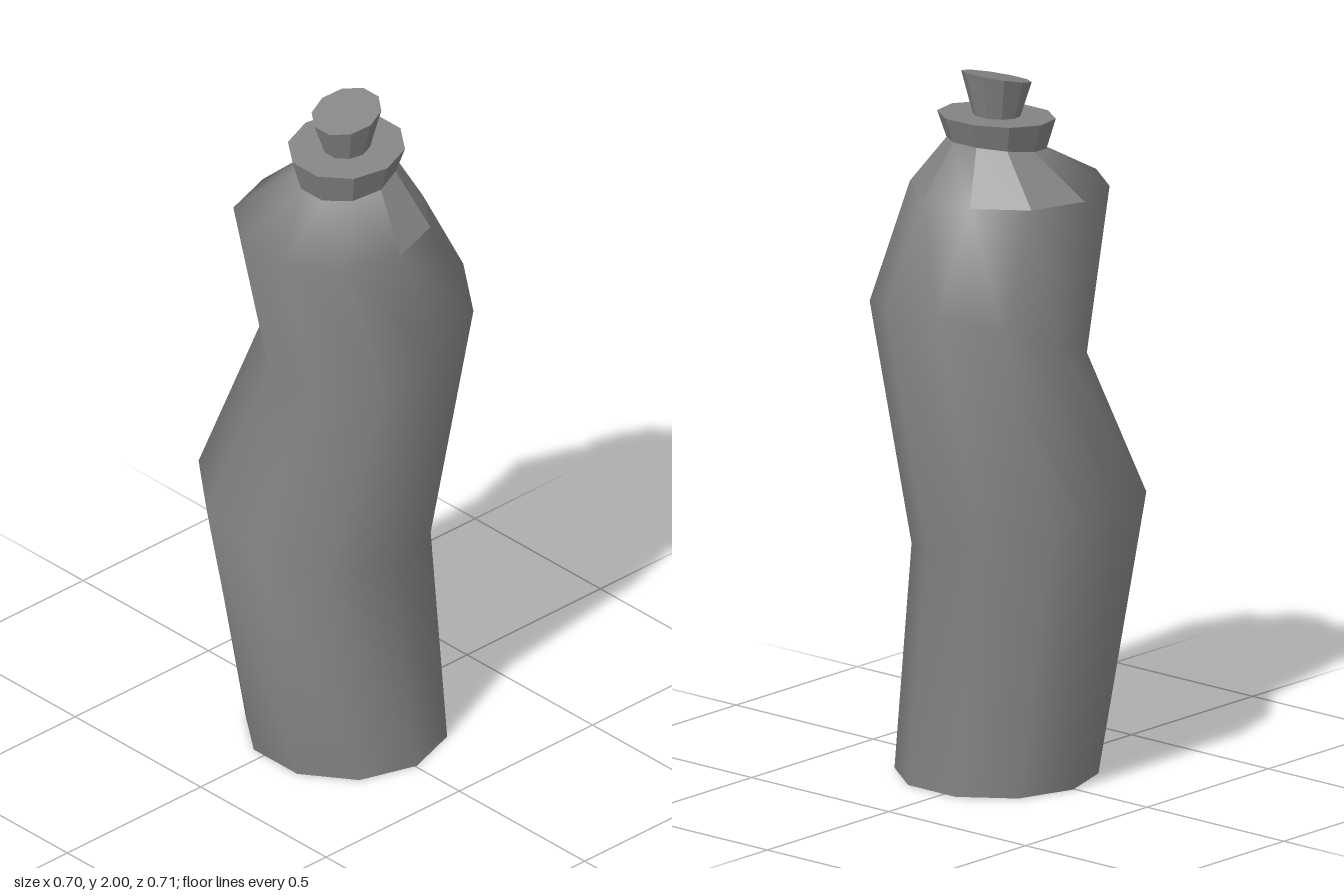
import * as THREE from 'three';

const SIDES = 10;

// A ring is a decagon around (x, z); its height tilts by sx along x and sz along z.
function ringPoint({ x = 0.045, y, z = -0.005, rx, rz = rx, sx = 0, sz = 0 }, k) {
  const a = (k / SIDES) * Math.PI * 2;
  const dx = rx * Math.cos(a), dz = rz * Math.sin(a);
  return [x + dx, y + sx * dx + sz * dz, z + dz];
}

// Skins the rings from bottom to top and closes both ends with flat caps.
// isFlat(row, side) picks wall faces that get their own hard-edged corners.
function loft(rings, isFlat) {
  const pos = [], idx = [];
  const add = (p) => pos.push(...p) / 3 - 1;

  rings.forEach((ring) => {
    for (let k = 0; k < SIDES; k++) add(ringPoint(ring, k));
  });

  for (let i = 0; i < rings.length - 1; i++) {
    for (let k = 0; k < SIDES; k++) {
      const n = (k + 1) % SIDES;
      let quad = [i * SIDES + k, (i + 1) * SIDES + k, (i + 1) * SIDES + n, i * SIDES + n];
      if (isFlat(i, k)) quad = quad.map((v) => add(pos.slice(v * 3, v * 3 + 3)));
      const [a, b, c, d] = quad;
      idx.push(a, b, c, a, c, d);
    }
  }

  [[rings[0], false], [rings[rings.length - 1], true]].forEach(([ring, up]) => {
    const first = pos.length / 3;
    for (let k = 0; k < SIDES; k++) add(ringPoint(ring, k));
    for (let k = 1; k < SIDES - 1; k++) {
      if (up) idx.push(first, first + k + 1, first + k);
      else idx.push(first, first + k, first + k + 1);
    }
  });

  const geo = new THREE.BufferGeometry();
  geo.setAttribute('position', new THREE.Float32BufferAttribute(pos, 3));
  geo.setIndex(idx);
  geo.computeVertexNormals();
  return geo;
}

export function createModel() {
  const group = new THREE.Group();
  const material = new THREE.MeshStandardMaterial({ color: 0x858585 });
  const addPart = (name, rings, isFlat = () => true) => {
    const mesh = new THREE.Mesh(loft(rings, isFlat), material);
    mesh.name = name;
    group.add(mesh);
  };

  // Crooked bottle body: smooth, apart from the facets on the back of the shoulder
  const backFacets = [5, 6, 8, 9];
  addPart('bottleBody', [
    { y: 0, rx: 0.28 },
    { x: -0.032, y: 0.725, z: 0.042, rx: 0.318, rz: 0.329, sx: -0.27, sz: 0.06 },
    { x: 0.045, y: 1.28, z: -0.08, rx: 0.304, rz: 0.289, sz: -0.37 },
    { y: 1.66, z: 0.05, rx: 0.274 },
    { y: 1.787, rx: 0.137, sz: -0.17 },
  ], (row, side) => row === 3 && backFacets.includes(side));

  // Flared collar around the mouth
  addPart('collar', [
    { y: 1.787, rx: 0.137, sz: -0.17 },
    { y: 1.868, rx: 0.163, sz: -0.08 },
  ]);

  // Stopper with a slanted top
  addPart('stopper', [
    { y: 1.866, rx: 0.065, sz: -0.08 },
    { y: 1.977, rx: 0.097, sz: -0.25 },
  ]);

  return group;
}
